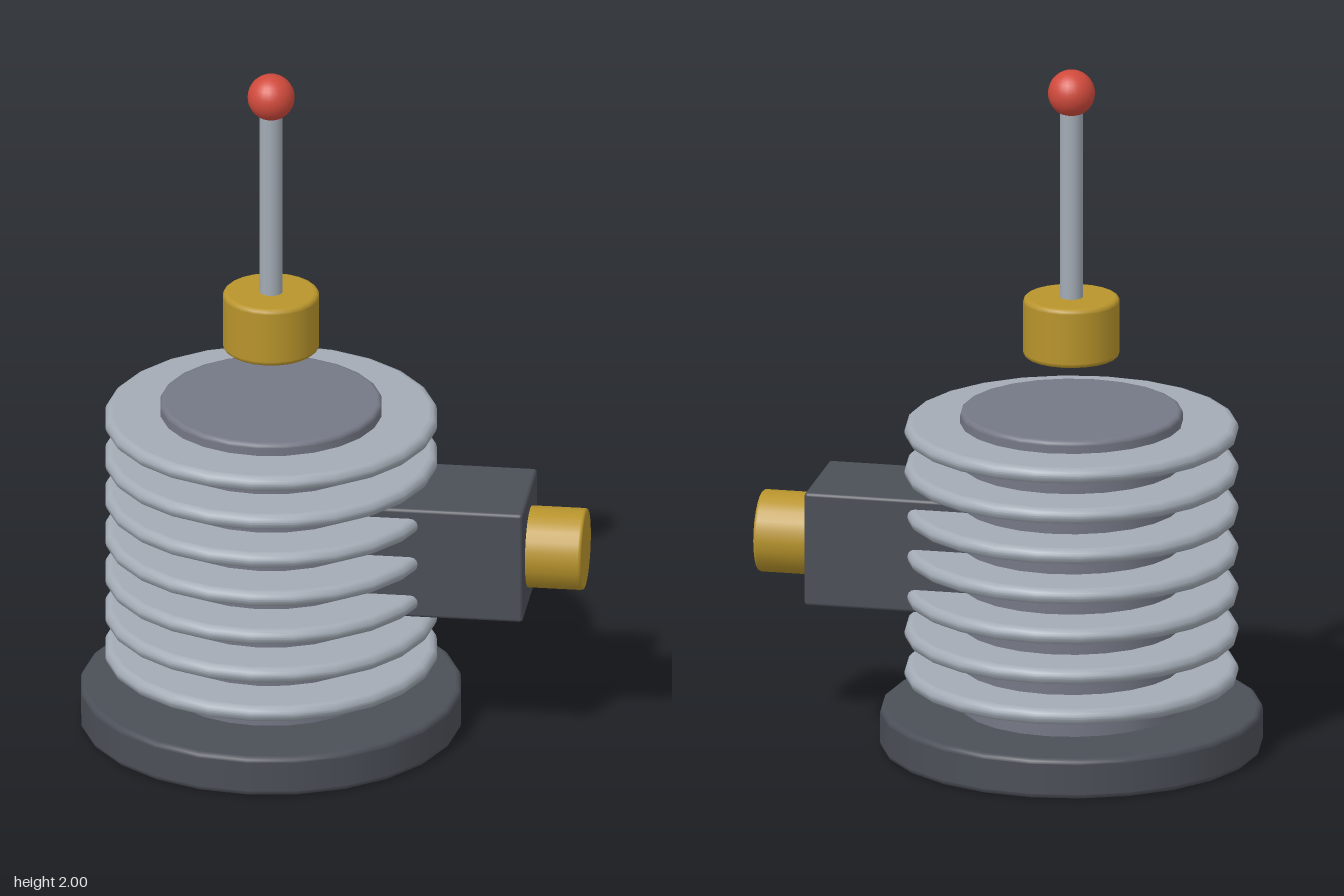
import * as THREE from 'three';
import { RoundedBoxGeometry } from 'three/addons/geometries/RoundedBoxGeometry.js';

const AXIS_X = -0.18;

function material(name, color) {
  const m = new THREE.MeshStandardMaterial({ color });
  m.name = name;
  return m;
}

// Solid disc or cylinder standing on y = 0, with rounded rims
function roundedCylinder(radius, height, bevel, segments = 24) {
  const s = 0.001; // support points keep the flat faces flat
  const points = [new THREE.Vector2(0, 0), new THREE.Vector2(radius - bevel - s, 0)];
  for (const [cy, start] of [[bevel, -Math.PI / 2], [height - bevel, 0]]) {
    for (let i = 0; i <= 3; i++) {
      const a = start + (i / 3) * (Math.PI / 2);
      points.push(new THREE.Vector2(radius - bevel + Math.cos(a) * bevel, cy + Math.sin(a) * bevel));
    }
    if (start < 0) {
      points.push(new THREE.Vector2(radius, bevel + s), new THREE.Vector2(radius, height - bevel - s));
    }
  }
  points.push(new THREE.Vector2(radius - bevel - s, height), new THREE.Vector2(0, height));
  return new THREE.LatheGeometry(points, segments);
}

export function createModel() {
  const group = new THREE.Group();
  const darkGrey = material('dark grey', 0x4b4f57);
  const bodyGrey = material('body grey', 0x757885);
  const steel = material('pale steel', 0xa3abb5);
  const brass = material('brass', 0xb8942c);
  const red = material('red', 0xd04a3c);

  function add(name, geometry, mat, x, y) {
    const mesh = new THREE.Mesh(geometry, mat);
    mesh.name = name;
    mesh.position.set(x, y, 0);
    group.add(mesh);
    return mesh;
  }

  // Base and main cylinder
  add('base', roundedCylinder(0.543, 0.118, 0.014), darkGrey, AXIS_X, 0.003);
  add('body', roundedCylinder(0.316, 0.895, 0.012), bodyGrey, AXIS_X, 0.1);

  // Seven cooling fins
  const finGeometry = roundedCylinder(0.474, 0.046, 0.02);
  for (let i = 0; i < 7; i++) {
    add('coolingFin' + (i + 1), finGeometry, steel, AXIS_X, 0.199 + i * 0.119);
  }

  // Side block with its outlet
  add('sideBlock', new RoundedBoxGeometry(0.56, 0.334, 0.334, 2, 0.01), darkGrey, 0.28, 0.582);
  const outlet = add('outlet', roundedCylinder(0.117, 0.2, 0.008), brass, 0.52, 0.58);
  outlet.rotation.z = -Math.PI / 2;

  // Floating collar, rod and ball
  add('collar', roundedCylinder(0.137, 0.174, 0.012), brass, AXIS_X, 1.156);
  add('rod', new THREE.CylinderGeometry(0.033, 0.033, 0.62, 16), steel, AXIS_X, 1.59);
  add('ball', new THREE.SphereGeometry(0.067, 24, 16), red, AXIS_X, 1.933);

  return group;
}
